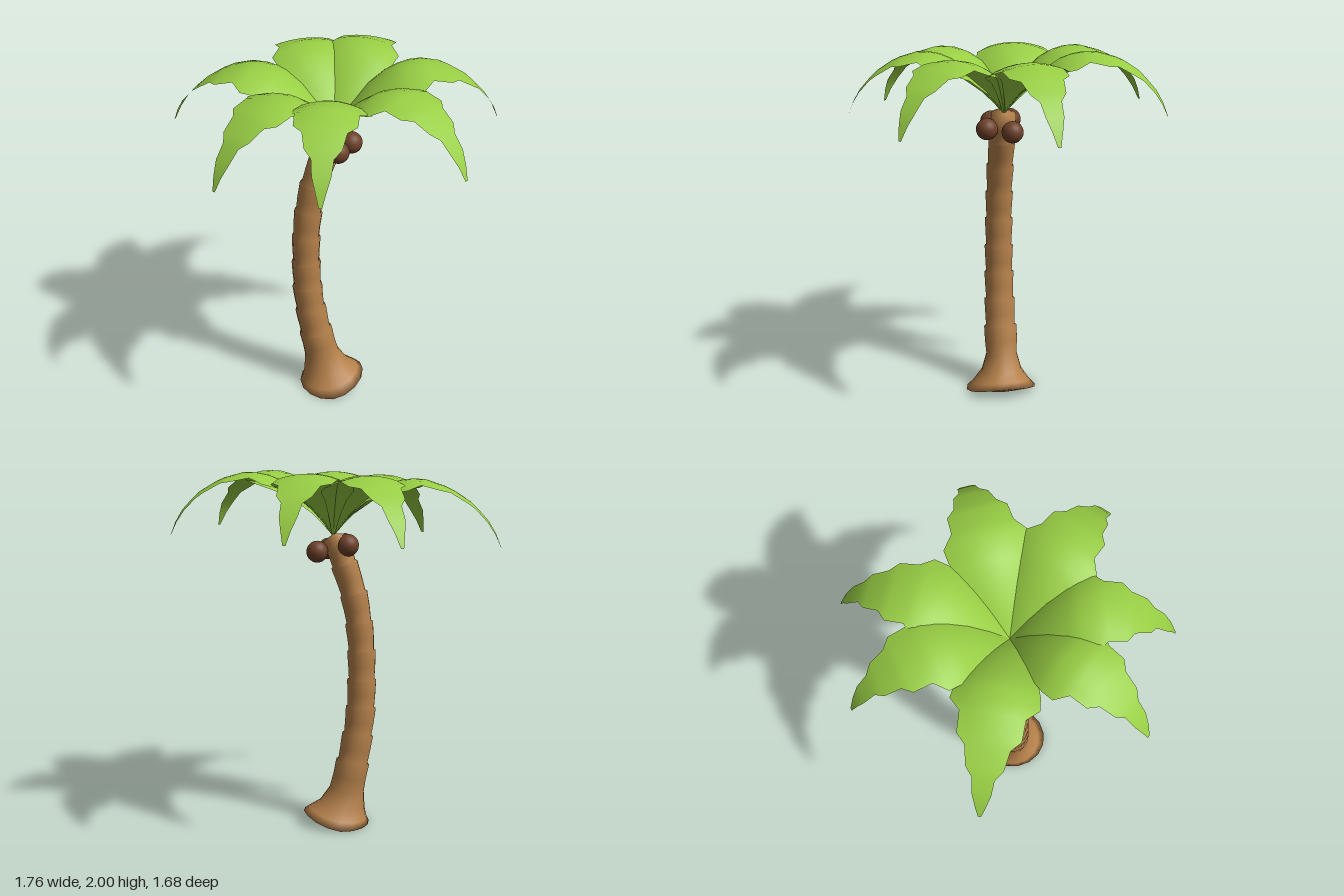
import * as THREE from 'three';

const mat = (name, color, side = THREE.FrontSide) => {
  const m = new THREE.MeshStandardMaterial({ color, side });
  m.name = name;
  return m;
};

function buildGeometry(positions, index) {
  const g = new THREE.BufferGeometry();
  g.setAttribute('position', new THREE.Float32BufferAttribute(positions, 3));
  g.setIndex(index);
  g.computeVertexNormals();
  return g;
}

// Closed smooth loft through rings listed bottom to top; tilt and bend raise the +x side
function loft(rings, sides = 16) {
  const pos = [], idx = [];
  rings.forEach(({ x, y, z = 0, rx, rz = rx, tilt = 0, bend = 0 }, i) => {
    for (let j = 0; j < sides; j++) {
      const a = (j / sides) * Math.PI * 2, c = Math.cos(a);
      pos.push(x + rx * c, Math.max(0, y + tilt * c + bend * c * c), z + rz * Math.sin(a));
      if (i === 0) continue;
      const k = (j + 1) % sides, lo = (i - 1) * sides, hi = i * sides;
      idx.push(lo + j, hi + j, lo + k, lo + k, hi + j, hi + k);
    }
  });
  return buildGeometry(pos, idx);
}

// Frond outline with saw teeth: [distance out, half width, midline height]
const FROND = [
  [0, 0.01, 1.655], [0.05, 0.038, 1.72], [0.1, 0.07, 1.785], [0.2, 0.13, 1.89],
  [0.3, 0.19, 1.96], [0.36, 0.21, 1.985], [0.43, 0.218, 1.999], [0.49, 0.16, 1.999],
  [0.59, 0.156, 1.972], [0.635, 0.11, 1.952], [0.72, 0.092, 1.9], [0.76, 0.055, 1.866],
  [0.82, 0.047, 1.803], [0.86, 0.027, 1.74], [0.89, 0.008, 1.67],
];

// Arched leaf: sides droop with the square of the distance from the midline, less so near the tip
function frondGeometry(angle, length, drop) {
  const pos = [], idx = [], cols = 8;
  const dx = Math.cos(angle), dz = Math.sin(angle);
  FROND.forEach(([out, half, y], i) => {
    const t = out / 0.89, r = t * length, droop = 2.4 * (1 - t);
    for (let j = 0; j <= cols; j++) {
      const w = half * (j / cols * 2 - 1);
      pos.push(-0.01 + dx * r - dz * w, y - drop * t - droop * w * w, dz * r + dx * w);
      if (i === 0 || j === cols) continue;
      const a = (i - 1) * (cols + 1) + j, b = a + cols + 1;
      idx.push(a, a + 1, b, a + 1, b + 1, b);
    }
  });
  return buildGeometry(pos, idx);
}

export function createModel() {
  const bark = mat('bark', 0xb4804a);
  const leaf = mat('leaf', 0x98ce44, THREE.DoubleSide);
  const shell = mat('coconutShell', 0x6e412a);

  const model = new THREE.Group();
  model.name = 'palmTree';
  const add = (parent, name, geometry, material) => {
    const mesh = new THREE.Mesh(geometry, material);
    mesh.name = name;
    parent.add(mesh);
    return mesh;
  };

  // Flared foot with a shallow hollow underside
  const rings = [
    { x: -0.05, y: 0.045, rx: 0.001 },
    { x: -0.05, y: 0.035, rx: 0.07, tilt: 0.01 },
    { x: -0.045, y: 0.006, z: 0.01, rx: 0.13, rz: 0.14, tilt: 0.012, bend: 0.006 },
    { x: -0.03, y: 0.004, z: 0.015, rx: 0.188, rz: 0.203, tilt: 0.035, bend: 0.031 },
    { x: -0.04, y: 0.045, z: 0.012, rx: 0.165, rz: 0.165, tilt: 0.033, bend: 0.015 },
    { x: -0.063, y: 0.105, z: 0.005, rx: 0.13, rz: 0.117, tilt: 0.025 },
    { x: -0.088, y: 0.195, rx: 0.099, rz: 0.09, tilt: 0.015 },
  ];

  // Trunk sections, each widening to a lip: [centre x, y, lip radius]
  const joints = [
    [-0.088, 0.195, 0.1], [-0.122, 0.355, 0.097], [-0.15, 0.515, 0.09], [-0.168, 0.675, 0.086],
    [-0.172, 0.835, 0.083], [-0.17, 1.0, 0.081], [-0.156, 1.16, 0.079], [-0.125, 1.325, 0.078],
    [-0.072, 1.49, 0.076], [-0.022, 1.64, 0.07],
  ];
  const spine = new THREE.CatmullRomCurve3(joints.map(([x, y]) => new THREE.Vector3(x, y, 0)));
  const last = joints.length - 1;
  const ringAt = (step, r) => {
    const p = spine.getPoint(step / last), d = spine.getTangent(step / last);
    return { x: p.x, y: p.y, rx: r * d.y, rz: r, tilt: -d.x * r };
  };
  for (let i = 0; i < last; i++) {
    const top = joints[i + 1][2], low = i === 0 ? 0.094 : joints[i][2] * 0.88;
    if (i > 0) rings.push(ringAt(i + 0.04, low));
    rings.push(ringAt(i + 0.5, (low + top) / 2), ringAt(i + 1, top));
  }
  rings.push({ x: -0.015, y: 1.66, rx: 0.002 });
  add(model, 'trunk', loft(rings), bark);

  // Coconuts
  [[-0.085, 1.6, -0.045, 0.062], [-0.078, 1.593, 0.06, 0.06],
    [0.005, 1.57, 0.097, 0.06], [0.082, 1.565, -0.03, 0.06]]
    .forEach(([x, y, z, r]) => {
      add(model, 'coconut', new THREE.SphereGeometry(r, 20, 14), shell).position.set(x, y, z);
    });

  // Crown: [angle in degrees, length, tip drop]
  const crown = new THREE.Group();
  crown.name = 'crown';
  model.add(crown);
  [[-6.5, 0.89, 0], [45.7, 0.88, 0], [97, 0.843, 0.02], [136, 0.855, 0.05],
    [198.7, 0.92, 0.07], [254, 0.872, 0.02], [292, 0.885, 0]]
    .forEach(([deg, length, drop]) => {
      add(crown, 'frond', frondGeometry(THREE.MathUtils.degToRad(deg), length, drop), leaf);
    });

  return model;
}
